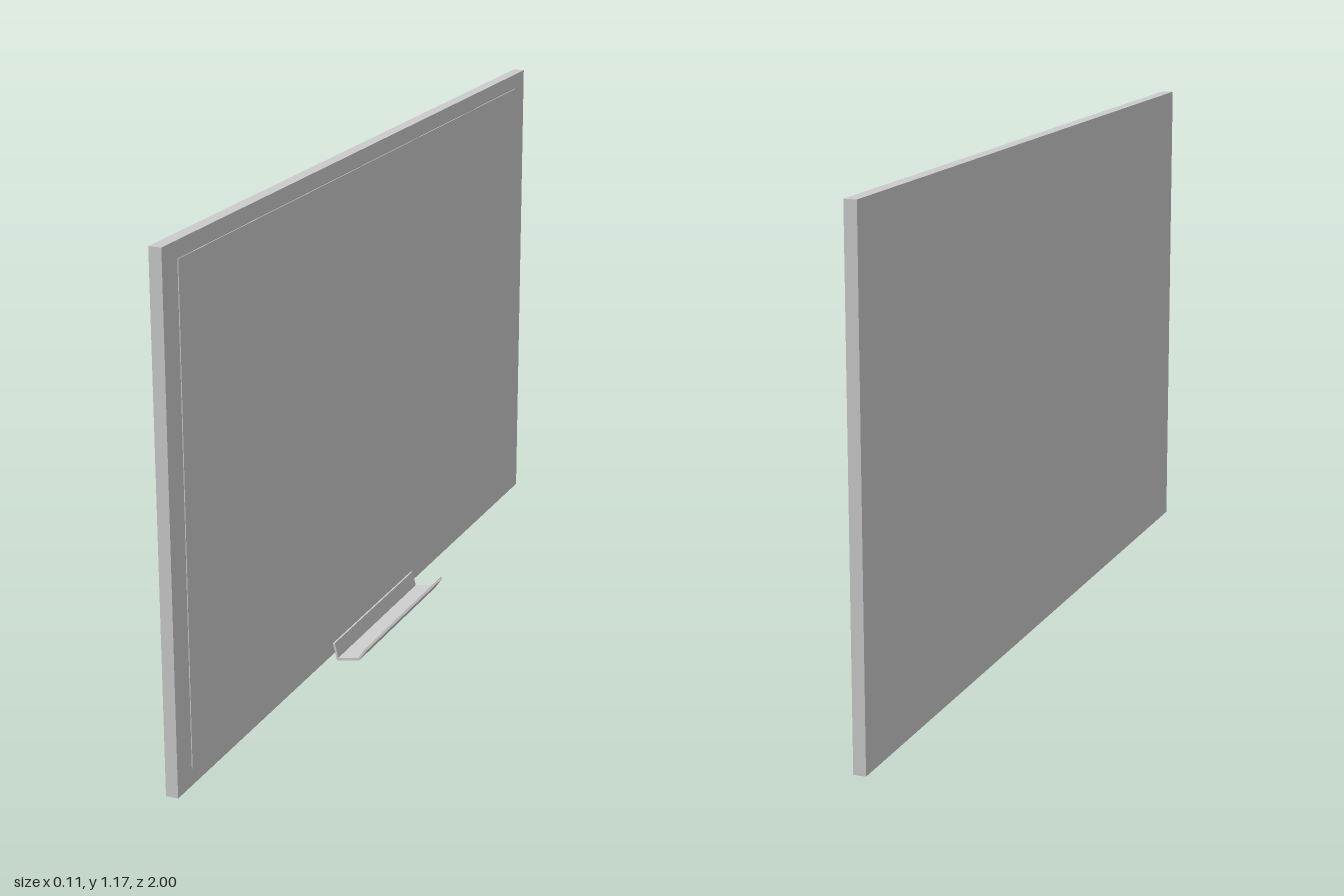
import * as THREE from 'three';

const material = new THREE.MeshStandardMaterial({ color: 0xcccccc });

// Box given by its minimum and maximum corners
function slab(name, min, max) {
  const size = max.map((v, i) => v - min[i]);
  const mesh = new THREE.Mesh(new THREE.BoxGeometry(...size), material);
  mesh.position.set(...max.map((v, i) => (v + min[i]) / 2));
  mesh.name = name;
  return mesh;
}

export function createModel() {
  const group = new THREE.Group();
  group.name = 'wallBoard';

  // Thin backing board with its border, facing +x
  group.add(slab('boardFrame', [-0.057, 0.013, -1], [-0.029, 1.172, 1]));

  // Writing surface, standing just proud of the border
  group.add(slab('writingSurface', [-0.031, 0.052, -0.938], [-0.027, 1.135, 0.938]));

  // Pen tray: bent sheet with a raised lip, extruded along the board
  const profile = [
    [-0.029, 0.042], [-0.019, 0.002], [-0.016, 0.001], [0.038, 0.011], [0.057, 0.039],
    [0.052, 0.042], [0.035, 0.016], [-0.015, 0.008], [-0.024, 0.043],
  ].map(([x, y]) => new THREE.Vector2(x, y - 0.001));
  const length = 0.47;
  const trayGeometry = new THREE.ExtrudeGeometry(new THREE.Shape(profile), {
    depth: length, bevelEnabled: false,
  });
  trayGeometry.translate(0, 0, -length / 2);
  const tray = new THREE.Mesh(trayGeometry, material);
  tray.name = 'penTray';
  group.add(tray);

  return group;
}
